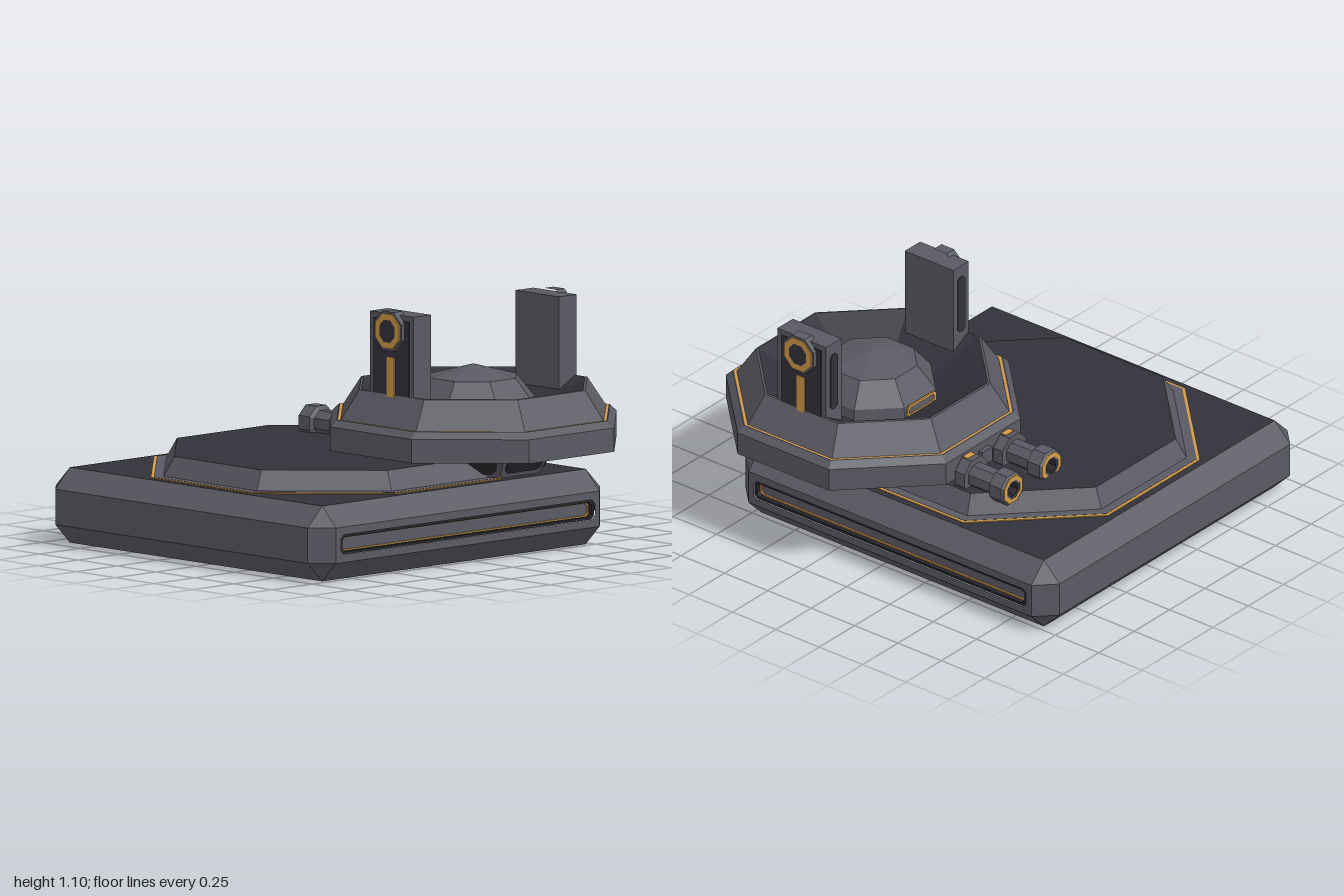
import * as THREE from 'three';
import { ConvexGeometry } from 'three/addons/geometries/ConvexGeometry.js';

const mat = (name, color, extra = {}) => {
  const m = new THREE.MeshStandardMaterial({ color, ...extra });
  m.name = name;
  return m;
};
const grey = mat('grey metal', 0x5a5a64);
const dark = mat('dark metal', 0x32323b);
const orange = mat('orange trim', 0xd39b48);
const black = mat('black recess', 0x25252b, { side: THREE.DoubleSide });

const flat = (g) => {
  const f = g.index ? g.toNonIndexed() : g;
  f.computeVertexNormals();
  return f;
};
const add = (parent, name, geo, material, x = 0, y = 0, z = 0) => {
  const m = new THREE.Mesh(geo, material);
  m.name = name;
  m.position.set(x, y, z);
  parent.add(m);
  return m;
};
const group = (parent, name, x = 0, y = 0, z = 0) => {
  const g = new THREE.Group();
  g.name = name;
  g.position.set(x, y, z);
  parent.add(g);
  return g;
};
const box = (p, name, m, w, h, d, x, y, z) => add(p, name, new THREE.BoxGeometry(w, h, d), m, x, y, z);

// Octagonal turned part from [apothem, y] pairs, flat side to the front
const octa = (p, name, m, pts) => {
  const k = 1 / Math.cos(Math.PI / 8);
  const v = pts.map(([r, y]) => new THREE.Vector2(r * k, y));
  return add(p, name, flat(new THREE.LatheGeometry(v, 8, Math.PI / 8)), m);
};

// Rectangle outline with cut corners
const cutRect = (T, w, h, c) => {
  const s = new T();
  [[-w + c, -h], [w - c, -h], [w, -h + c], [w, h - c], [w - c, h], [-w + c, h], [-w, h - c], [-w, -h + c]]
    .forEach(([x, y], i) => (i ? s.lineTo(x, y) : s.moveTo(x, y)));
  s.closePath();
  return s;
};
const extrude = (s, depth) => new THREE.ExtrudeGeometry(s, { depth, bevelEnabled: false });

// Base block: chamfered box with recessed light slots on two sides
function makeBase(root) {
  const g = group(root, 'base', -0.095, 0.175, -0.095);
  const A = 0.905, H = 0.17, C = 0.09;
  const pts = [];
  for (const sx of [-1, 1]) for (const sy of [-1, 1]) for (const sz of [-1, 1]) {
    pts.push(new THREE.Vector3(sx * A, sy * (H - C), sz * (A - C)));
    pts.push(new THREE.Vector3(sx * (A - C), sy * H, sz * (A - C)));
    pts.push(new THREE.Vector3(sx * (A - C), sy * (H - C), sz * A));
  }
  const hull = new ConvexGeometry(pts);
  const P = hull.attributes.position, N = hull.attributes.normal;
  // Sort the hull faces: flat top and bottom, bevels and sides, open slotted sides
  const parts = { dark: [], grey: [] };
  for (let i = 0; i < P.count; i += 3) {
    if (N.getX(i) > 0.99 || N.getZ(i) > 0.99) continue;
    const list = Math.abs(N.getY(i)) > 0.99 ? parts.dark : parts.grey;
    for (let j = i; j < i + 3; j++) list.push(P.getX(j), P.getY(j), P.getZ(j));
  }
  const geo = (a) => flat(new THREE.BufferGeometry().setAttribute('position', new THREE.Float32BufferAttribute(a, 3)));
  add(g, 'baseDeck', geo(parts.dark), dark);
  add(g, 'baseBevels', geo(parts.grey), grey);

  for (const turn of [0, Math.PI / 2]) {
    const s = group(g, 'slottedSide');
    s.rotation.y = turn;
    const face = cutRect(THREE.Shape, A - C, H - C, 0);
    face.holes.push(cutRect(THREE.Path, 0.785, 0.045, 0.018));
    add(s, 'slotFace', new THREE.ShapeGeometry(face), grey, 0, 0, A);
    const ring = cutRect(THREE.Shape, 0.785, 0.045, 0.018);
    ring.holes.push(cutRect(THREE.Path, 0.772, 0.033, 0.014));
    add(s, 'slotFrame', extrude(ring, 0.045), black, 0, 0, A - 0.05);
    const trim = cutRect(THREE.Shape, 0.773, 0.034, 0.014);
    trim.holes.push(cutRect(THREE.Path, 0.766, 0.027, 0.012));
    add(s, 'slotTrim', extrude(trim, 0.008), orange, 0, 0, A - 0.035);
    box(s, 'slotBack', grey, 1.56, 0.08, 0.006, 0, 0, A - 0.042);
  }

  // Octagonal deck plate with its outline
  octa(g, 'deckTrim', orange, [[0.784, 0.168], [0.784, 0.174], [0.77, 0.174]]);
  octa(g, 'deckBorder', grey, [[0.77, 0.168], [0.77, 0.175], [0.72, 0.175]]);
  octa(g, 'platformSlope', grey, [[0.73, 0.17], [0.68, 0.262]]);
  octa(g, 'platformTop', dark, [[0.68, 0.262], [0, 0.262]]);
}

// Upright post on the +x side; the other is its mirror
function makePost(t, side) {
  const p = group(t, 'post', side * 0.45, 0, 0);
  const out = side * 0.055;
  box(p, 'postBody', grey, 0.108, 0.5, 0.28, 0, 0.845, 0);
  box(p, 'postOuterPanel', dark, 0.008, 0.34, 0.225, out, 0.9, 0);
  box(p, 'postStripe', orange, 0.008, 0.18, 0.048, out + side * 0.004, 0.81, 0);
  add(p, 'postBackSlot', extrude(cutRect(THREE.Shape, 0.025, 0.14, 0.015), 0.006), dark, 0, 0.9, -0.144);
  const cap = group(p, 'postCap', out, 1.02, 0);
  cap.rotation.z = -side * Math.PI / 2;
  octa(cap, 'capBody', grey, [[0.088, -0.03], [0.088, 0.024], [0, 0.024]]);
  octa(cap, 'capRing', orange, [[0.078, 0.024], [0.078, 0.029], [0.05, 0.029]]);
  octa(cap, 'capCentre', dark, [[0.05, 0.028], [0, 0.028]]);
}

// Barrel pointing to the back
function makeBarrel(t, x) {
  const b = group(t, 'barrel', x, 0.48, -0.365);
  b.rotation.x = -Math.PI / 2;
  octa(b, 'barrelBody', grey, [[0.055, -0.1], [0.055, 0.28], [0.082, 0.28], [0.082, 0.335], [0.055, 0.335],
    [0.055, 0.46], [0.074, 0.47], [0.074, 0.54], [0.066, 0.548], [0.035, 0.548]]);
  octa(b, 'muzzleRing', orange, [[0.066, 0.546], [0.064, 0.551], [0.044, 0.551]]);
  octa(b, 'muzzleBore', black, [[0.045, 0.55], [0.035, 0.49], [0, 0.49]]);
  box(b, 'collarMark', orange, 0.055, 0.03, 0.008, 0, 0.295, 0.082);
}

function makeTurret(root) {
  const t = group(root, 'turret', 0.365, 0, 0.365);
  // Hub below the turret, with dark panels around it
  octa(t, 'hub', grey, [[0, 0.345], [0.3, 0.345], [0.36, 0.465], [0.36, 0.52]]);
  for (let i = 0; i < 8; i++) {
    const h = group(t, 'hubSide');
    h.rotation.y = i * Math.PI / 4;
    const panel = add(h, 'hubPanel', extrude(cutRect(THREE.Shape, 0.11, 0.045, 0.02), 0.006), black, 0, 0.408, 0.331);
    panel.rotation.x = Math.atan2(0.06, 0.12);
  }
  // Armoured ring: underside, skirt, trim, slope and bowl
  octa(t, 'ringUnderside', dark, [[0, 0.52], [0.42, 0.52], [0.57, 0.462]]);
  octa(t, 'skirt', grey, [[0.57, 0.462], [0.635, 0.462], [0.635, 0.57], [0.605, 0.6], [0.6, 0.6]]);
  octa(t, 'ringTrim', orange, [[0.602, 0.599], [0.588, 0.599]]);
  octa(t, 'ringSlope', grey, [[0.588, 0.598], [0.505, 0.73], [0.495, 0.732]]);
  octa(t, 'bowl', dark, [[0.495, 0.732], [0.465, 0.715], [0.26, 0.6], [0, 0.6]]);
  // Faceted dome in the bowl, with a hooded window at the back
  octa(t, 'dome', grey, [[0.275, 0.59], [0.27, 0.66], [0.19, 0.765], [0, 0.82]]);
  const hood = cutRect(THREE.Shape, 0.1, 0.03, 0.012);
  hood.holes.push(cutRect(THREE.Path, 0.088, 0.018, 0.01));
  add(t, 'domeWindowFrame', extrude(hood, 0.008), orange, 0, 0.632, -0.283);

  makePost(t, 1);
  makePost(t, -1);
  makeBarrel(t, -0.14);
  makeBarrel(t, 0.13);
  box(t, 'barrelBridge', grey, 0.07, 0.07, 0.1, 0, 0.5, -0.61);
  box(t, 'barrelMount', dark, 0.46, 0.09, 0.34, 0, 0.485, -0.42);
}

export function createModel() {
  const root = new THREE.Group();
  root.name = 'turretPlatform';
  makeBase(root);
  makeTurret(root);
  return root;
}
